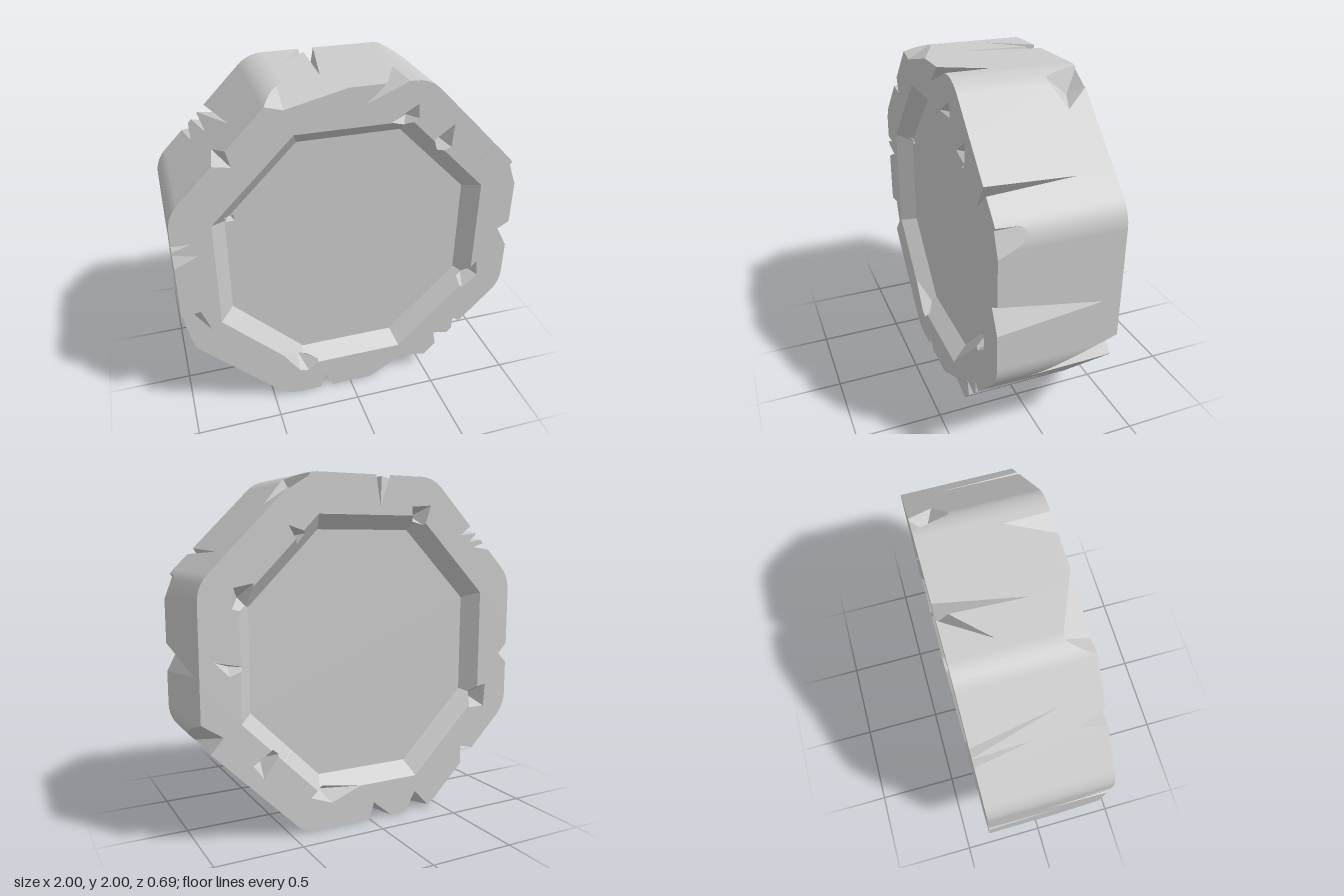
import * as THREE from 'three';

const V = (x, y, z) => new THREE.Vector3(x, y, z);
const HALF = 0.345, FLOOR = 0.255, ROUND = 0.2, EPS = 1e-6;
const T8 = Math.tan(Math.PI / 8);

// A convex solid is a list of planes; inside means a negative distance.
function plane(a, b, c, inside) {
  const p = new THREE.Plane().setFromCoplanarPoints(a, b, c);
  return p.distanceToPoint(inside) > 0 ? p.negate() : p;
}

// Split a polygon into the parts behind and in front of a plane.
function split(poly, pl) {
  const back = [], front = [];
  poly.forEach((p, i) => {
    const q = poly[(i + 1) % poly.length];
    const d = pl.distanceToPoint(p), e = pl.distanceToPoint(q);
    if (d <= EPS) back.push(p);
    if (d >= -EPS) front.push(p);
    if ((d > EPS && e < -EPS) || (d < -EPS && e > EPS)) {
      const m = p.clone().lerp(q, d / (d - e));
      back.push(m); front.push(m);
    }
  });
  const flat = poly.every((p) => Math.abs(pl.distanceToPoint(p)) <= EPS);
  const far = poly.every((p) => pl.distanceToPoint(p) >= -EPS);
  const near = poly.every((p) => pl.distanceToPoint(p) <= EPS);
  if (flat || near) return [poly, null];
  if (far) return [null, poly];
  return [back, front];
}

function keepInside(poly, solid) {
  for (const pl of solid) {
    if (!poly) return null;
    poly = split(poly, pl)[0];
  }
  return poly;
}

function keepOutside(polys, solid) {
  return polys.flatMap((poly) => {
    if (!keepInside(poly, solid)) return [poly];
    const out = [];
    for (const pl of solid) {
      const [back, front] = split(poly, pl);
      if (front) out.push(front);
      if (!back) break;
      poly = back;
    }
    return out;
  });
}

// Large square lying in a plane, facing along its normal.
function sheet(pl) {
  const c = pl.normal.clone().multiplyScalar(-pl.constant);
  const u = Math.abs(pl.normal.z) > 0.9 ? V(1, 0, 0) : V(0, 0, 1);
  u.cross(pl.normal).normalize();
  const v = pl.normal.clone().cross(u);
  return [[-1, -1], [1, -1], [1, 1], [-1, 1]].map(([a, b]) =>
    c.clone().addScaledVector(u, a * 6).addScaledVector(v, b * 6));
}

// Chip: planes joining a tip to each step of a path, open at the surface.
function chip(path, tip, closed) {
  const mid = path.reduce((s, p) => s.add(p), V(0, 0, 0)).divideScalar(path.length);
  const steps = closed ? path.length : path.length - 1;
  return Array.from({ length: steps }, (_, i) =>
    plane(path[i], path[(i + 1) % path.length], tip, mid));
}

// Octagonal block with rounded corners
function blockPlanes() {
  const pts = [], inner = (1 - ROUND) / Math.cos(Math.PI / 8), n = 5;
  for (let k = 0; k < 8; k++) {
    const a = (k + 0.5) * Math.PI / 4;
    for (let i = 0; i <= n; i++) {
      const b = k * Math.PI / 4 + (i / n) * Math.PI / 4;
      pts.push(V(inner * Math.cos(a) + ROUND * Math.cos(b), 1 + inner * Math.sin(a) + ROUND * Math.sin(b), 0));
    }
  }
  const rim = pts.map((p, i) => {
    const q = pts[(i + 1) % pts.length];
    return plane(p, q, V(p.x, p.y, 1), V(0, 1, 0));
  });
  const ends = [1, -1].map((s) => new THREE.Plane(V(0, 0, s), -HALF));
  return { rim, ends };
}

// Octagonal recess with a sloped wall and a flat floor
function recessPlanes(s) {
  const at = (r, k, z) => {
    const a = (k + 0.5) * Math.PI / 4, R = r / Math.cos(Math.PI / 8);
    return V(R * Math.cos(a), 1 + R * Math.sin(a), s * z);
  };
  const walls = Array.from({ length: 8 }, (_, k) =>
    plane(at(0.78, k, HALF), at(0.78, k + 1, HALF), at(0.7, k, FLOOR), V(0, 1, s * HALF)));
  return [...walls, new THREE.Plane(V(0, 0, -s), FLOOR)];
}

// Smooth normal of the rounded rim
function rimNormal(p) {
  const y = p.y - 1;
  const k = Math.round(Math.atan2(y, p.x) / (Math.PI / 4)) * Math.PI / 4;
  const c = Math.cos(k), s = Math.sin(k), lim = (1 - ROUND) * T8;
  const along = -p.x * s + y * c, t = Math.max(-lim, Math.min(lim, along));
  return V(p.x - (1 - ROUND) * c + t * s, y - (1 - ROUND) * s - t * c, 0).normalize();
}

function buildMesh(name, polys, material, normalAt) {
  const pos = [], nor = [];
  for (const poly of polys) {
    for (let i = 1; i < poly.length - 1; i++) {
      const tri = [poly[0], poly[i], poly[i + 1]];
      const n = new THREE.Triangle(...tri).getNormal(V(0, 0, 0));
      if (n.lengthSq() < 0.5) continue;
      for (const p of tri) {
        pos.push(p.x, p.y, p.z);
        nor.push(...(normalAt ? normalAt(p) : n).toArray());
      }
    }
  }
  const g = new THREE.BufferGeometry();
  g.setAttribute('position', new THREE.Float32BufferAttribute(pos, 3));
  g.setAttribute('normal', new THREE.Float32BufferAttribute(nor, 3));
  const m = new THREE.Mesh(g, material);
  m.name = name;
  return m;
}

// Rim chips: path across the face, then the tip on the rim
const frontNotches = [
  [[[0.82, 1.594], [0.73, 1.45], [0.854, 1.56]], [0.834, 1.58, -0.14]],
  [[[1, 1.3], [0.95, 1.43], [0.985, 1.47]], [0.993, 1.455, 0.03]],
  [[[1, 1.04], [0.93, 1], [1, 0.87]], [1, 0.935, -0.24]],
  [[[0.74, 0.326], [0.695, 0.355], [0.69, 0.276]], [0.694, 0.28, -0.06]],
  [[[0.66, 0.246], [0.565, 0.265], [0.584, 0.17]], [0.654, 0.24, -0.18]],
  [[[0.13, 0], [0.355, 0.13], [0.51, 0.096]], [0.4, 0.01, 0.2]],
  [[[-1, 1.18], [-0.87, 1.15], [-1, 1.09]], [-1, 1.13, -0.02]],
  [[[-1, 1.235], [-0.9, 1.23], [-1, 1.2]], [-1, 1.22, 0.18]],
  [[[-1, 0.76], [-0.89, 0.78], [-0.84, 0.64], [-0.94, 0.53]], [-1, 0.66, 0.05]],
  [[[-0.48, 1.95], [-0.37, 1.92], [-0.03, 2]], [-0.37, 2, 0.2]],
  [[[0.17, 2], [0.06, 1.9], [0.3, 2]], [0.295, 2, 0.1]],
  [[[-0.75, 1.664], [-0.65, 1.645], [-0.675, 1.739]], [-0.725, 1.69, 0.19]],
  [[[-0.2, 0], [-0.165, 0.1], [-0.115, 0]], [-0.15, 0, 0.05]],
];
const backNotches = [
  [[[1, 0.7], [0.88, 0.62], [0.95, 0.54]], [0.905, 0.49, 0.13]],
  [[[-0.12, 2], [-0.06, 1.83], [-0.04, 2]], [-0.28, 2, -0.1]],
  [[[-0.1, 2], [-0.06, 1.83], [-0.03, 2]], [-0.12, 2, 0.12]],
  [[[-0.83, 1.584], [-0.72, 1.6], [-0.79, 1.624]], [-0.8, 1.614, -0.12]],
  [[[-0.77, 1.644], [-0.68, 1.63], [-0.735, 1.679]], [-0.725, 1.689, -0.04]],
  [[[-0.73, 1.684], [-0.62, 1.67], [-0.69, 1.724]], [-0.62, 1.794, 0.13]],
  [[[-1, 0.99], [-0.94, 0.93], [-1, 0.87]], [-1, 0.97, 0.08]],
  [[[-0.15, 0], [-0.03, 0.1], [0, 0]], [0, 0, 0.15]],
  [[[-0.42, 0.01], [-0.32, 0.12], [-0.25, 0]], [-0.35, 0, -0.15]],
  [[[-0.75, 0.336], [-0.66, 0.36], [-0.66, 0.246]], [-0.7, 0.286, 0]],
];
// Chips on the flat faces and recess edges: loop, then the deepest point
const frontPits = [
  [[[0.21, 1.785], [0.355, 1.87], [0.36, 1.79], [0.275, 1.72]], [0.32, 1.78, 0.25]],
  [[[0.575, 1.73], [0.565, 1.595], [0.485, 1.565], [0.46, 1.65]], [0.52, 1.62, 0.2]],
  [[[-0.73, 1.34], [-0.62, 1.35], [-0.6, 1.26], [-0.73, 1.25]], [-0.67, 1.3, 0.2]],
  [[[0.815, 0.78], [0.83, 0.675], [0.735, 0.6], [0.68, 0.64]], [0.76, 0.7, 0.22]],
  [[[-0.455, 0.36], [-0.33, 0.18], [-0.275, 0.165], [-0.2, 0.235], [-0.26, 0.29]], [-0.32, 0.22, 0.2]],
];
const backPits = [
  [[[0.92, 1.02], [0.73, 0.98], [0.84, 0.94]], [0.82, 0.98, -0.25]],
  [[[0.7, 1.42], [0.81, 1.4], [0.82, 1.29], [0.7, 1.26]], [0.75, 1.34, -0.22]],
  [[[0.5, 1.72], [0.38, 1.68], [0.43, 1.6]], [0.45, 1.66, -0.22]],
  [[[0.72, 0.44], [0.6, 0.52], [0.56, 0.49], [0.66, 0.36]], [0.64, 0.44, -0.22]],
  [[[0.38, 0.2], [0.3, 0.27], [0.06, 0.22], [0.25, 0.15]], [0.28, 0.2, -0.22]],
  [[[-0.84, 0.74], [-0.72, 0.72], [-0.72, 0.6], [-0.83, 0.6]], [-0.78, 0.66, -0.22]],
  [[[-0.4, 1.84], [-0.27, 1.83], [-0.28, 1.73], [-0.36, 1.72]], [-0.33, 1.78, -0.23]],
];

export function createModel() {
  const group = new THREE.Group();
  group.name = 'chippedStoneDisc';
  const material = new THREE.MeshStandardMaterial({ color: 0xcccccc });

  const { rim, ends } = blockPlanes();
  const block = [...rim, ...ends];
  const recesses = [recessPlanes(1), recessPlanes(-1)];
  const make = (list, s, closed) => list.map(([path, tip]) =>
    chip(path.map(([x, y]) => V(x, y, s * HALF)), V(...tip), closed));
  const chips = [
    ...make(frontNotches, 1, false), ...make(backNotches, -1, false),
    ...make(frontPits, 1, true), ...make(backPits, -1, true),
    // Chip on the back upper corner of the rim
    chip([V(0.37, 2, -0.36), V(0.44, 1.97, -0.14), V(0.59, 1.83, -0.21), V(0.5, 1.92, -0.36)], V(0.44, 1.86, -0.27), true),
  ];
  const cutters = [...recesses, ...chips];

  // Surface of each solid, trimmed by all the cutters
  const trim = (polys, self) => cutters.reduce((p, c) => (c === self ? p : keepOutside(p, c)), polys);
  const skin = (planes) => trim(planes.map((pl) => keepInside(sheet(pl), block)).filter(Boolean));
  const hollow = (solid) => trim(solid.map((pl) => {
    const poly = keepInside(keepInside(sheet(pl), solid), block);
    return poly && poly.slice().reverse();
  }).filter(Boolean), solid);

  group.add(buildMesh('outerRim', skin(rim), material, rimNormal));
  group.add(buildMesh('flatFaces', skin(ends), material));
  group.add(buildMesh('frontRecess', hollow(recesses[0]), material));
  group.add(buildMesh('backRecess', hollow(recesses[1]), material));
  group.add(buildMesh('chips', chips.flatMap(hollow), material));
  return group;
}
